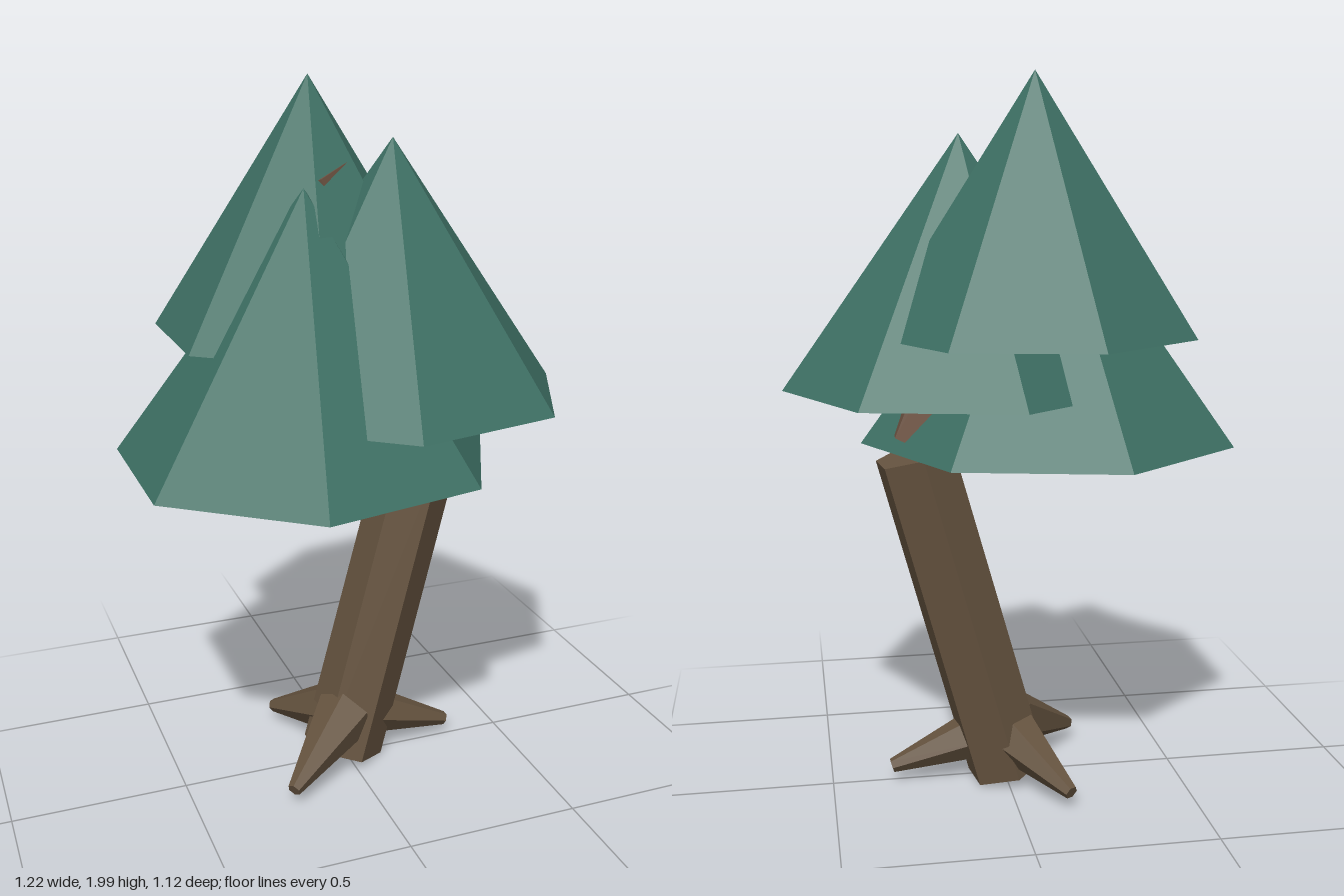
import * as THREE from 'three';

const UP = new THREE.Vector3(0, 1, 0);

export function createModel() {
  const make = (name, color) => {
    const m = new THREE.MeshStandardMaterial({ color, flatShading: true });
    m.name = name;
    return m;
  };
  const needles = make('pine green', 0x3e7064);
  const bark = make('bark brown', 0x65533f);
  const innerBark = make('reddish bark', 0x6f5443);

  const tree = new THREE.Group();
  tree.name = 'crookedPine';

  // tapered six-sided limb running from one point to another
  function limb(name, from, to, r0, r1, phase, material) {
    const a = new THREE.Vector3(...from);
    const b = new THREE.Vector3(...to);
    const dir = b.clone().sub(a);
    const geo = new THREE.CylinderGeometry(r1, r0, dir.length(), 6);
    geo.rotateY(THREE.MathUtils.degToRad(phase));
    const mesh = new THREE.Mesh(geo, material);
    mesh.quaternion.setFromUnitVectors(UP, dir.normalize());
    mesh.position.copy(a).add(b).multiplyScalar(0.5);
    mesh.name = name;
    tree.add(mesh);
  }

  // seven-sided foliage cone with one corner towards +x
  function foliage(name, x, z, base, top, radius) {
    const geo = new THREE.ConeGeometry(radius, top - base, 7);
    geo.rotateY(Math.PI / 2);
    const mesh = new THREE.Mesh(geo, needles);
    mesh.position.set(x, (base + top) / 2, z);
    mesh.name = name;
    tree.add(mesh);
  }

  // trunk: leans right, then bends back left inside the foliage
  limb('lowerTrunk', [-0.007, 0.034, -0.01], [0.258, 0.984, -0.045], 0.119, 0.114, 68, bark);
  limb('upperTrunk', [0.22, 1.005, -0.065], [-0.075, 1.745, -0.08], 0.115, 0.115, 57, innerBark);

  // three roots
  limb('rightRoot', [0.04, 0.15, -0.01], [0.33, 0.053, -0.01], 0.08, 0.02, 0, bark);
  limb('frontLeftRoot', [-0.015, 0.165, 0.03], [-0.235, 0.055, 0.205], 0.09, 0.02, 0, bark);
  limb('backLeftRoot', [-0.01, 0.15, -0.04], [-0.145, 0.055, -0.27], 0.085, 0.02, 0, bark);

  // overlapping foliage cones
  foliage('lowerFoliage', -0.132, 0.04, 1.0, 1.725, 0.53);
  foliage('middleFoliage', 0.12, 0.03, 1.155, 1.845, 0.49);
  foliage('topFoliage', -0.06, -0.13, 1.315, 2.0, 0.44);

  return tree;
}
